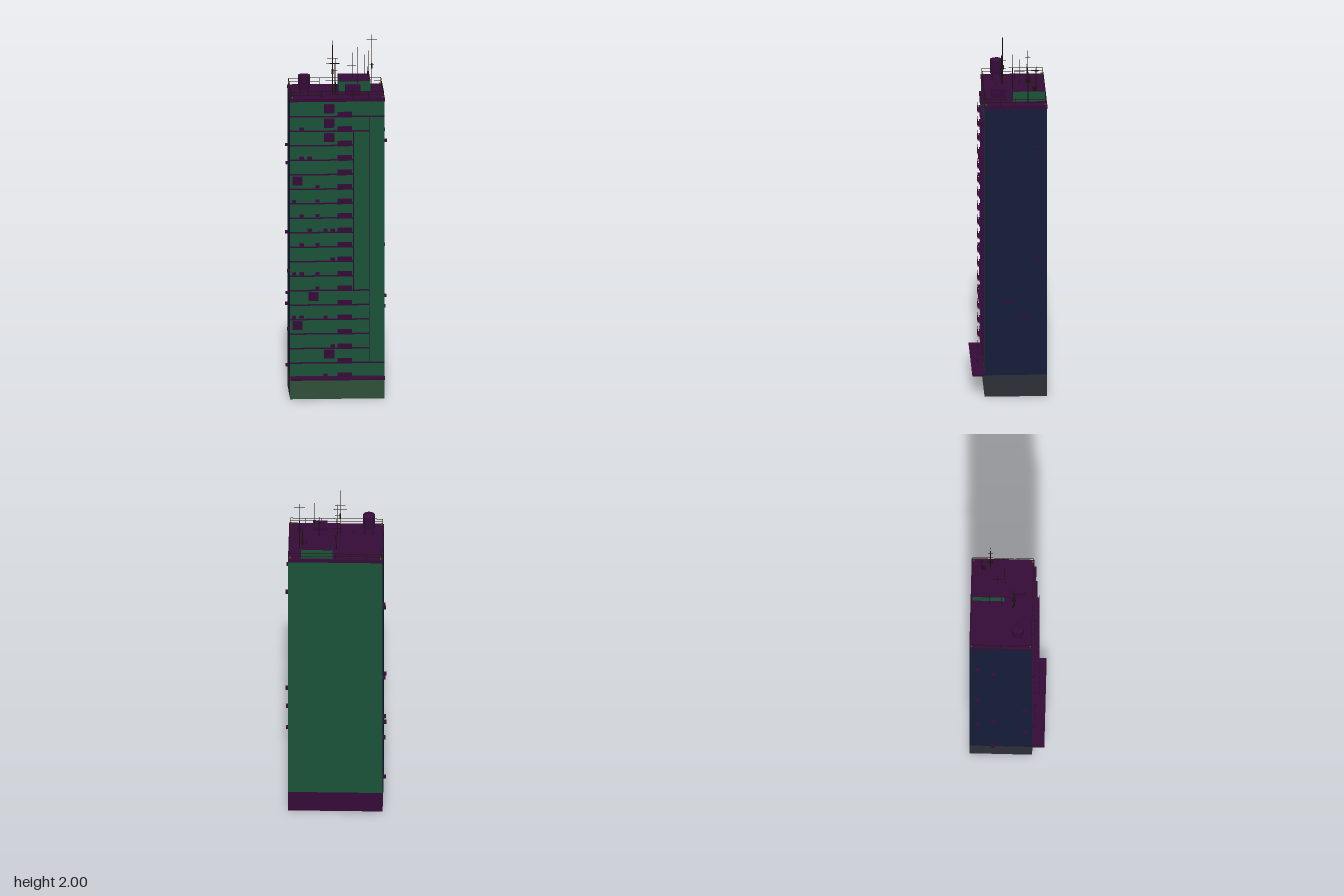
import * as THREE from 'three';

const mat = (color) => new THREE.MeshStandardMaterial({ color, side: THREE.DoubleSide });

export function createModel() {
  const root = new THREE.Group();
  const green = mat(0x1a5238), navy = mat(0x161c3a), purple = mat(0x350b38);
  const olive = mat(0x2f5038), slate = mat(0x2e2e38), dark = mat(0x1c100c), brass = mat(0x4c4c12);

  const add = (parent, name, geo, m, x, y, z) => {
    const mesh = new THREE.Mesh(geo, m);
    mesh.name = name;
    mesh.position.set(x, y, z);
    parent.add(mesh);
    return mesh;
  };
  // Box given by its min and max on each axis
  const span = (parent, name, m, x0, x1, y0, y1, z0, z1) =>
    add(parent, name, new THREE.BoxGeometry(x1 - x0, y1 - y0, z1 - z0), m, (x0 + x1) / 2, (y0 + y1) / 2, (z0 + z1) / 2);
  const group = (name) => {
    const g = new THREE.Group();
    g.name = name;
    root.add(g);
    return g;
  };

  const X = 0.26, ZB = -0.207, ZF = 0.138, BASE = 0.125, ROOF = 1.7;
  const floorY = (i) => BASE + i * 0.0819;

  // Open-bottomed shell: four walls for the base and four for the tower
  const shell = group('walls');
  const wallRing = (name, y0, y1, front, back, side) => {
    const h = y1 - y0, y = (y0 + y1) / 2, zc = (ZB + ZF) / 2;
    add(shell, name + 'Front', new THREE.PlaneGeometry(2 * X, h), front, 0, y, ZF);
    add(shell, name + 'Back', new THREE.PlaneGeometry(2 * X, h), back, 0, y, ZB).rotation.y = Math.PI;
    for (const s of [-1, 1])
      add(shell, name + (s > 0 ? 'Left' : 'Right'), new THREE.PlaneGeometry(ZF - ZB, h), side, s * X, y, zc).rotation.y = s * Math.PI / 2;
  };
  wallRing('base', 0, BASE, olive, purple, slate);
  wallRing('tower', BASE, 1.68, green, green, navy);

  // Roof slab and entrance canopy
  span(root, 'roofSlab', purple, -X - 0.001, X + 0.001, 1.68, ROOF, ZB - 0.001, ZF + 0.001);
  span(root, 'canopy', purple, -X, X, 0.12, 0.13, ZF, 0.205);

  // Floor ledges and balconies
  const facade = group('facade');
  for (let i = 0; i <= 18; i++) {
    const y = floorY(i);
    if (i > 0) {
      const end = i === 1 || i === 18 ? X : i <= 6 || i === 17 ? 0.175 : 0.09;
      span(facade, 'floorLedge', purple, -X, end, y - 0.004, y + 0.002, ZF, 0.149);
    }
    span(facade, 'balconyFloor', purple, 0, 0.08, y, y + 0.003, ZF, 0.17);
    span(facade, 'balconyFront', purple, 0, 0.08, y, y + 0.031, 0.167, 0.17);
  }
  // Vertical fins framing the plain strips
  span(facade, 'innerFin', purple, 0.087, 0.09, floorY(6), floorY(17), ZF, 0.157);
  span(facade, 'outerFin', purple, 0.173, 0.176, floorY(1), floorY(18), ZF, 0.157);

  // Large square units on the front
  for (const [x, y] of [[-0.045, 1.643], [-0.045, 1.561], [-0.045, 1.48], [-0.22, 1.236], [-0.132, 0.582], [-0.22, 0.418], [-0.045, 0.255]])
    span(facade, 'largeUnit', purple, x - 0.028, x + 0.028, y - 0.024, y + 0.024, ZF, 0.153);

  // Small air conditioners by floor number
  const small = {
    0: [-0.066], 2: [-0.026], 4: [-0.24, -0.197, -0.066], 6: [-0.11], 7: [-0.24, -0.197, -0.11],
    8: [-0.026], 9: [-0.197, -0.11], 10: [-0.153, -0.066, -0.026], 11: [-0.197, -0.11],
    12: [-0.24, -0.11], 13: [-0.11], 15: [-0.197, -0.153], 17: [-0.197],
  };
  for (const [i, xs] of Object.entries(small))
    for (const x of xs) span(facade, 'airConditioner', purple, x - 0.011, x + 0.011, floorY(+i) + 0.006, floorY(+i) + 0.02, ZF, 0.153);

  // Air conditioners on the side walls: side, height, depth
  const sideUnits = [[1, 1.45, -0.165], [1, 1.45, 0.097], [1, 0.8, -0.165], [1, 0.553, 0.01], [1, 0.472, -0.078],
    [-1, 1.37, -0.165], [-1, 1.288, -0.078], [-1, 0.877, -0.165], [-1, 0.717, 0.097],
    [-1, 0.553, -0.078], [-1, 0.472, -0.165], [-1, 0.39, 0.097], [-1, 0.145, -0.078]];
  for (const [s, y, z] of sideUnits)
    add(facade, 'sideAirConditioner', new THREE.BoxGeometry(0.015, 0.014, 0.021), purple, s * (X + 0.0075), y, z);

  // Roof railing
  const rail = group('railing');
  const RX = 0.255, RB = -0.202, RF = 0.133, t = 0.001;
  for (const y of [1.718, 1.736]) {
    for (const z of [RB, RF]) span(rail, 'rail', dark, -RX, RX, y - t, y + t, z - t, z + t);
    for (const x of [-RX, RX]) span(rail, 'rail', dark, x - t, x + t, y - t, y + t, RB, RF);
  }
  for (let i = 0; i <= 6; i++) {
    const x = -RX + (2 * RX * i) / 6;
    for (const z of [RB, RF]) span(rail, 'railPost', dark, x - t, x + t, ROOF, 1.736, z - t, z + t);
  }
  for (let i = 1; i < 4; i++) {
    const z = RB + ((RF - RB) * i) / 4;
    for (const x of [-RX, RX]) span(rail, 'railPost', dark, x - t, x + t, ROOF, 1.736, z - t, z + t);
  }
  for (const x of [-0.25, 0.25])
    for (const z of [-0.197, 0.129]) span(rail, 'cornerLamp', brass, x - 0.005, x + 0.005, ROOF, 1.707, z - 0.005, z + 0.005);

  // Rooftop sheds and hatch
  span(root, 'stairHouse', green, 0.016, 0.19, ROOF, 1.757, -0.198, -0.022);
  span(root, 'stairHouseRoof', purple, 0.016, 0.19, 1.757, 1.76, -0.198, -0.022);
  span(root, 'plantBox', purple, 0.048, 0.13, ROOF, 1.752, 0.021, 0.092);
  span(root, 'roofHatch', purple, -0.104, -0.076, ROOF, 1.712, 0.046, 0.065);

  // Water tank on legs
  const tank = group('waterTank');
  tank.position.set(-0.18, 0, 0.057);
  add(tank, 'tankBody', new THREE.CylinderGeometry(0.034, 0.034, 0.078, 10), purple, 0, 1.776, 0);
  add(tank, 'tankLid', new THREE.ConeGeometry(0.035, 0.008, 10), purple, 0, 1.819, 0);
  for (const x of [-0.022, 0.022])
    for (const z of [-0.022, 0.022]) span(tank, 'tankLeg', dark, x - 0.002, x + 0.002, ROOF, 1.738, z - 0.002, z + 0.002);

  // Antennas: position, foot, top, mast radius, then crossbars [height, half length, axis]
  const antennas = [
    [-0.022, 0.028, ROOF, 2.0, 0.003, [[1.9, 0.03, 'x'], [1.872, 0.037, 'x'], [1.865, 0.02, 'z']]],
    [-0.008, 0.034, ROOF, 1.9, 0.003, [[1.83, 0.014, 'x']]],
    [0.2, -0.103, ROOF, 2.0, 0.003, [[1.975, 0.03, 'x'], [1.96, 0.015, 'z'], [1.83, 0.012, 'x']]],
    [0.093, -0.06, 1.76, 1.91, 0.0025, [[1.84, 0.03, 'x'], [1.842, 0.03, 'z']]],
    [0.12, -0.022, ROOF, 1.95, 0.0025, []],
    [0.182, -0.15, 1.76, 1.9, 0.0025, [[1.87, 0.01, 'z']]],
    [0.16, -0.145, 1.76, 1.88, 0.0015, [[1.87, 0.022, 'z'], [1.85, 0.016, 'z']]],
    [0, -0.035, ROOF, 1.8, 0.002, []],
    [-0.004, -0.104, ROOF, 1.84, 0.002, [[1.838, 0.03, 'x']]],
  ];
  const masts = group('antennas');
  for (const [x, z, y0, y1, r, bars] of antennas) {
    add(masts, 'mast', new THREE.CylinderGeometry(r * 0.5, r, y1 - y0, 6), dark, x, (y0 + y1) / 2, z);
    for (const [y, half, axis] of bars) {
      const w = axis === 'x' ? half : 0.001, d = axis === 'z' ? half : 0.001;
      span(masts, 'crossbar', dark, x - w, x + w, y - 0.001, y + 0.001, z - d, z + d);
    }
  }
  // Receiver boxes on the masts
  for (const [x, y, z, d] of [[0.2, 1.825, -0.103, 0.028], [-0.022, 1.825, 0.03, 0.018], [0.182, 1.772, -0.142, 0.024]])
    add(masts, 'receiver', new THREE.BoxGeometry(0.009, 0.024, d), dark, x, y, z);

  return root;
}
